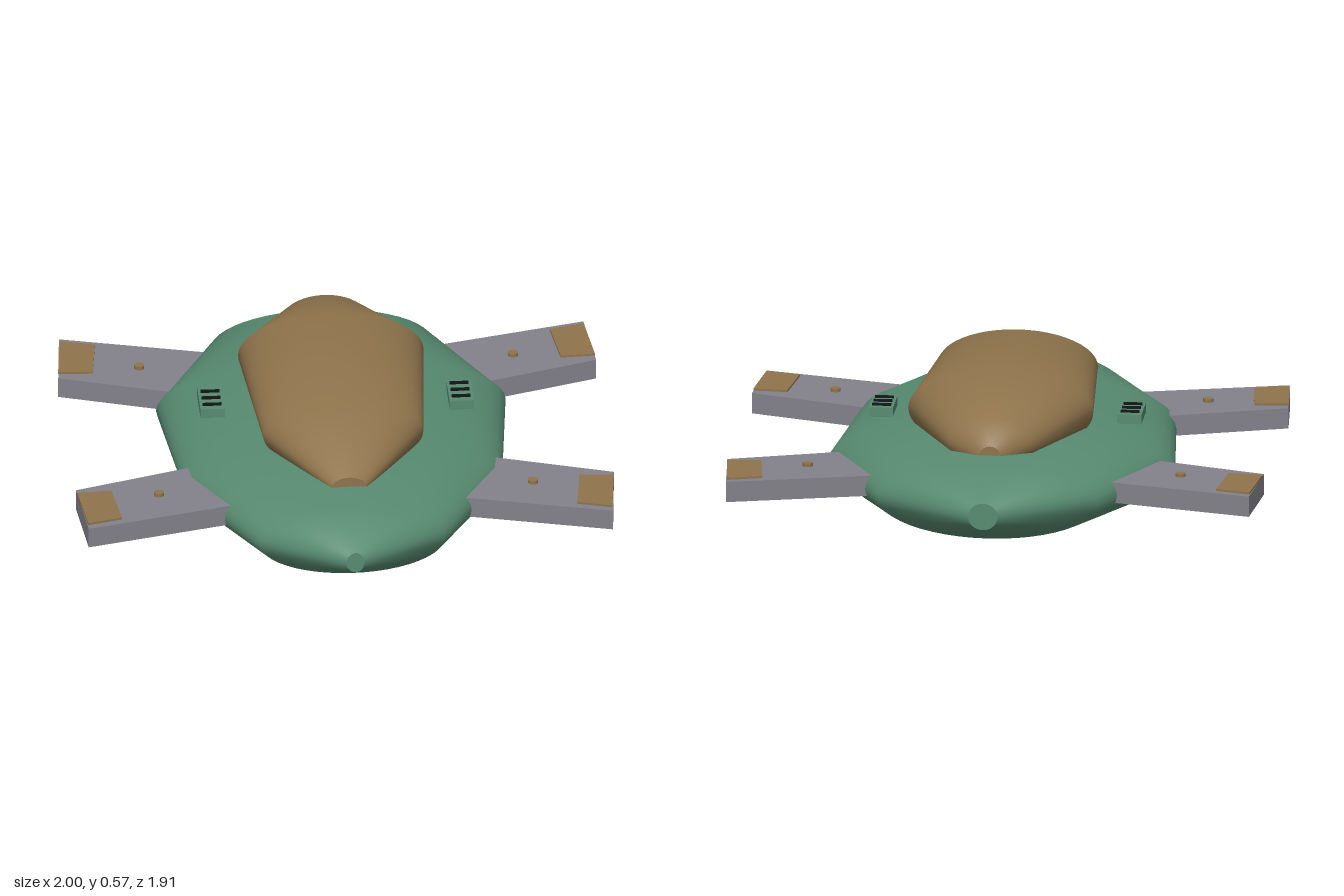
import * as THREE from 'three';

const mat = (name, color, side = THREE.FrontSide) => {
  const m = new THREE.MeshStandardMaterial({ color, side });
  m.name = name;
  return m;
};

// Smooth loft through elliptical sections [z, halfWidth, bottom, top], nose first, with flat end caps
function loft(sections, n = 48) {
  const pos = [], idx = [];
  const ring = ([z, rx, y0, y1]) => {
    const start = pos.length / 3;
    for (let j = 0; j < n; j++) {
      const a = (j / n) * Math.PI * 2;
      pos.push(rx * Math.cos(a), (y0 + y1) / 2 + ((y1 - y0) / 2) * Math.sin(a), z);
    }
    return start;
  };
  const starts = sections.map(ring);
  for (let i = 0; i + 1 < starts.length; i++) {
    const f = starts[i], b = starts[i + 1];
    for (let j = 0; j < n; j++) {
      const k = (j + 1) % n;
      idx.push(f + j, b + j, f + k, f + k, b + j, b + k);
    }
  }
  const front = ring(sections[0]), back = ring(sections[sections.length - 1]);
  for (let j = 1; j + 1 < n; j++) {
    idx.push(front, front + j, front + j + 1, back, back + j + 1, back + j);
  }
  const g = new THREE.BufferGeometry();
  g.setAttribute('position', new THREE.Float32BufferAttribute(pos, 3));
  g.setIndex(idx);
  g.computeVertexNormals();
  return g;
}

// Horizontal plate from an [x, z] outline between two heights
function plate(points, y0, y1) {
  const shape = new THREE.Shape(points.map(([x, z]) => new THREE.Vector2(x, -z)));
  const g = new THREE.ExtrudeGeometry(shape, { depth: y1 - y0, bevelEnabled: false });
  return g.rotateX(-Math.PI / 2).translate(0, y0, 0);
}

export function createModel() {
  const green = mat('hull green', 0x578a70);
  const grey = mat('wing grey', 0x83818a);
  const brown = mat('bronze', 0x8f744c);
  const black = mat('black', 0x141416);

  const model = new THREE.Group();
  model.name = 'spacecraft';
  const add = (name, geometry, material, parent = model) => {
    const m = new THREE.Mesh(geometry, material);
    m.name = name;
    parent.add(m);
    return m;
  };

  add('hull', loft([
    [0.955, 0.033, 0.145, 0.225],
    [0.79, 0.345, 0.055, 0.328],
    [0.34, 0.59, 0.012, 0.366],
    [-0.30, 0.65, 0, 0.372],
    [-0.77, 0.41, 0.045, 0.338],
    [-0.955, 0.055, 0.13, 0.232],
  ]), green);

  add('canopy', loft([
    [0.645, 0.065, 0.3, 0.378],
    [0.34, 0.297, 0.265, 0.535],
    [-0.30, 0.345, 0.245, 0.567],
    [-0.63, 0.16, 0.27, 0.472],
    [-0.695, 0.04, 0.3, 0.378],
  ]), brown);

  for (const s of [1, -1]) {
    const side = s > 0 ? 'left' : 'right';

    // Wings: the rear pair mirrors the front pair, set slightly further out
    for (const end of [1, -1]) {
      const wing = new THREE.Group();
      wing.name = side + (end > 0 ? 'FrontWing' : 'RearWing');
      model.add(wing);
      const at = (x, z) => [s * x, end > 0 ? z : -(z + 0.07)];
      const outline = (pts) => pts.map(([x, z]) => at(x, z));

      add('wingPanel', plate(outline(
        [[0.40, 0.205], [1.0, 0.41], [0.975, 0.718], [0.40, 0.565]]), 0.162, 0.24), grey, wing);
      add('tipPatch', plate(outline(
        [[0.87, 0.437], [0.998, 0.445], [0.974, 0.69], [0.846, 0.652]]), 0.24, 0.248), brown, wing);

      const [bx, bz] = at(0.695, 0.47);
      add('bolt', new THREE.CylinderGeometry(0.019, 0.019, 0.03, 16), brown, wing)
        .position.set(bx, 0.238, bz);

      // Slim pointed blister under the wing
      const [ux, uz] = at(0.61, 0.425);
      const blister = add('undersideBlister', new THREE.SphereGeometry(1, 16, 8), black, wing);
      blister.scale.set(0.13, 0.016, 0.028);
      blister.position.set(ux, 0.162, uz);
    }

    // Deck vent with three slats
    const vent = new THREE.Group();
    vent.name = side + 'Vent';
    vent.position.set(s * 0.463, 0, -0.058);
    model.add(vent);
    add('ventBase', new THREE.BoxGeometry(0.09, 0.036, 0.168), green, vent).position.y = 0.339;
    for (const z of [-0.052, 0, 0.052]) {
      add('ventSlat', new THREE.BoxGeometry(0.07, 0.008, 0.011), black, vent).position.set(0, 0.361, z);
    }
  }
  return model;
}
